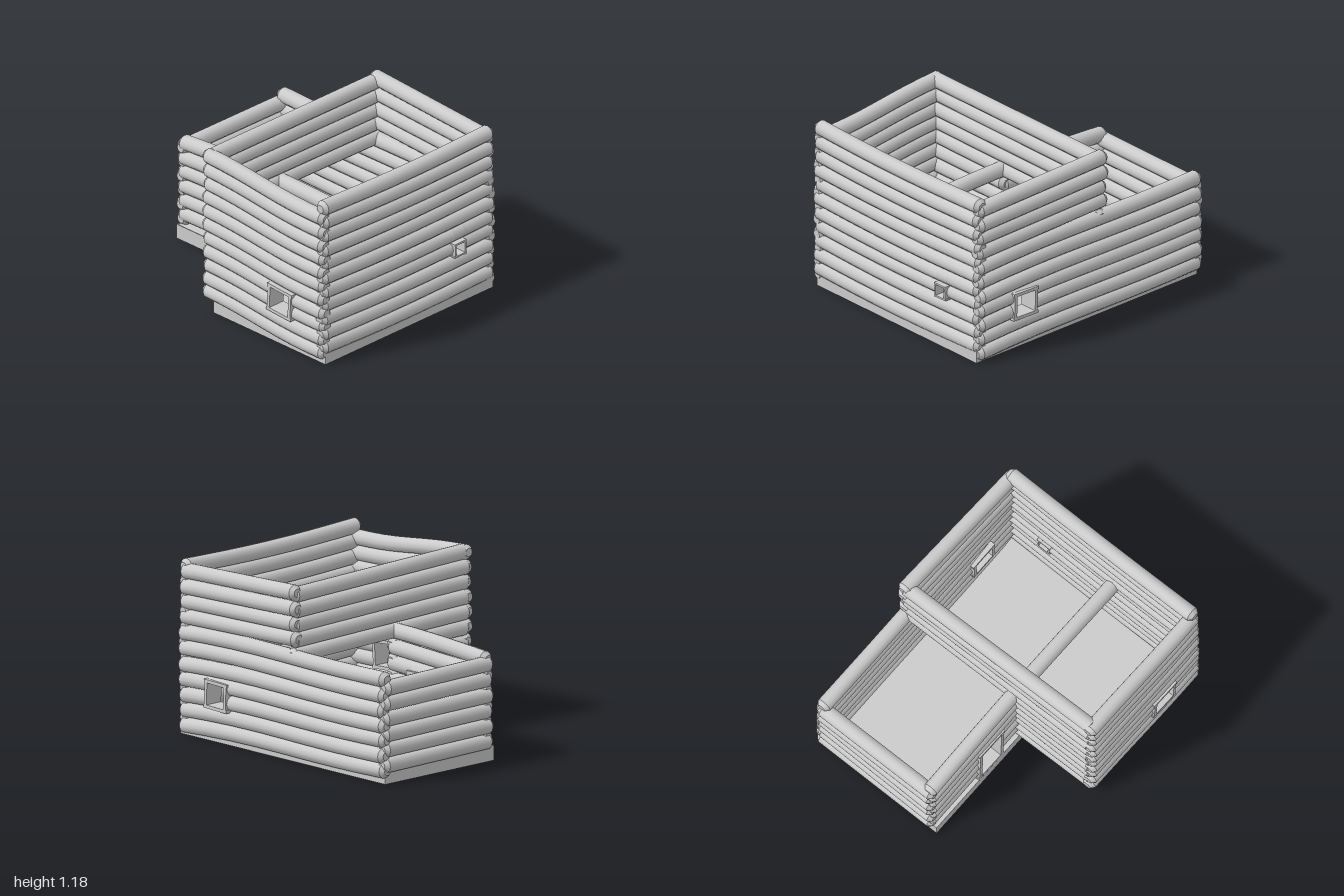
import * as THREE from 'three';
import { toCreasedNormals } from 'three/addons/utils/BufferGeometryUtils.js';

const R = 0.052;
const grey = new THREE.MeshStandardMaterial({ color: 0xcccccc, side: THREE.DoubleSide });

let seed = 7;
const wobble = (amount) => {
  seed = (seed * 16807) % 2147483647;
  return (seed / 2147483647 - 0.5) * 2 * amount;
};

// One stretch of a bent log between t0 and t1; whole ends are chamfered, cut ends are flat.
function logPiece(a, b, sag, t0, t1, clampY) {
  const axis = Math.abs(b.x - a.x) > Math.abs(b.z - a.z) ? 'x' : 'z';
  const bevel = 0.028 / a.distanceTo(b);
  const profile = [new THREE.Vector2(0, t0), new THREE.Vector2(t0 === 0 ? R * 0.55 : R, t0)];
  const s = t0 === 0 ? bevel : t0;
  const e = t1 === 1 ? 1 - bevel : t1;
  for (let i = t0 === 0 ? 0 : 1; i <= 8; i++) profile.push(new THREE.Vector2(R, s + ((e - s) * i) / 8));
  if (t1 === 1) profile.push(new THREE.Vector2(R * 0.55, 1));
  profile.push(new THREE.Vector2(0, t1));
  const geo = new THREE.LatheGeometry(profile, 12);
  const pos = geo.attributes.position;
  const p = new THREE.Vector3();
  for (let i = 0; i < pos.count; i++) {
    const u = pos.getX(i), t = pos.getY(i), v = pos.getZ(i);
    p.lerpVectors(a, b, t);
    p.y += sag(t);
    if (axis === 'x') { p.y += v; p.z += u; } else { p.y += u; p.x += v; }
    if (clampY) p.y = clampY(p.y);
    pos.setXYZ(i, p.x, p.y, p.z);
  }
  geo.deleteAttribute('normal');
  geo.deleteAttribute('uv');
  return toCreasedNormals(geo, 0.62);
}

// A log from a to b, cut away where it crosses an opening {lo, hi, bottom, top}.
function addLog(parent, a, b, sag, opening) {
  const add = (...args) => {
    const mesh = new THREE.Mesh(logPiece(a, b, sag, ...args), grey);
    mesh.name = 'log';
    parent.add(mesh);
  };
  if (opening) {
    const axis = Math.abs(b.x - a.x) > Math.abs(b.z - a.z) ? 'x' : 'z';
    const [t0, t1] = [opening.lo, opening.hi]
      .map((c) => (c - a[axis]) / (b[axis] - a[axis])).sort((m, n) => m - n);
    const tm = (t0 + t1) / 2;
    const y = a.y + (b.y - a.y) * tm + sag(tm);
    const { bottom, top } = opening;
    if (y + R > bottom && y - R < top) {
      add(0, t0);
      add(t1, 1);
      if (y < bottom + R * 0.75) add(t0, t1, (h) => Math.min(h, bottom));
      else if (y > top - R * 0.75) add(t0, t1, (h) => Math.max(h, top));
      return;
    }
  }
  add(0, 1);
}

// A stack of logs. from / to are [x, y of row 0, z, row spacing].
function wall(name, from, to, first, last, sag, opening) {
  const group = new THREE.Group();
  group.name = name;
  for (let i = first; i <= last; i++) {
    const end = ([x, y, z, step]) =>
      new THREE.Vector3(x + wobble(0.006), y + step * i + wobble(0.003), z + wobble(0.006));
    addLog(group, end(from), end(to), sag, opening);
  }
  return group;
}

// Four boards around an opening, facing +z.
function frame(name, w, h, depth, bar, position, tilt = 0, turn = 0) {
  const group = new THREE.Group();
  group.name = name;
  const board = (bw, bh, x, y) => {
    const mesh = new THREE.Mesh(new THREE.BoxGeometry(bw, bh, depth), grey);
    mesh.name = 'frameBoard';
    mesh.position.set(x, y, 0);
    group.add(mesh);
  };
  for (const s of [-1, 1]) {
    board(bar, h - bar, (s * (w - bar)) / 2, 0);
    board(w + bar * 0.6, bar, 0, (s * (h - bar)) / 2);
  }
  group.position.set(...position);
  group.rotation.set(0, turn, tilt);
  return group;
}

// L-shaped ground plan, drawn with z flipped so it can be laid flat.
function plan(inset) {
  const k = inset;
  return [[-0.95 + k, 0.76 - k], [-0.95 + k, -0.2 + k], [-0.055 + k, -0.2 + k],
    [-0.055 + k, -0.76 + k], [0.965 - k, -0.76 + k], [0.965 - k, 0.76 - k]]
    .map(([x, y]) => new THREE.Vector2(x, y));
}

export function createModel() {
  const model = new THREE.Group();
  model.name = 'logCabin';

  // Foundation skirt, open below, with the floor just under its top edge
  const ring = new THREE.Shape(plan(0));
  ring.holes.push(new THREE.Path(plan(0.008)));
  const skirt = new THREE.Mesh(new THREE.ExtrudeGeometry(ring, { depth: 0.1, bevelEnabled: false }), grey);
  skirt.name = 'foundation';
  skirt.rotation.x = -Math.PI / 2;
  const floor = new THREE.Mesh(new THREE.ShapeGeometry(new THREE.Shape(plan(0.004))), grey);
  floor.name = 'floor';
  floor.rotation.x = -Math.PI / 2;
  floor.position.y = 0.095;
  model.add(skirt, floor);

  const straight = () => 0;
  const sagging = (t) => -0.018 * Math.sin(Math.PI * t);
  const wavy = (t) => -0.008 * Math.sin(2 * Math.PI * t) + 0.008 * Math.sin(Math.PI * t);
  const frontHole = { lo: 0.505, hi: 0.69, bottom: 0.25, top: 0.42 };
  const backHole = { lo: 0.495, hi: 0.67, bottom: 0.24, top: 0.4 };
  const sideHole = { lo: -0.485, hi: -0.395, bottom: 0.36, top: 0.45 };
  const doorHole = { lo: -0.5, hi: -0.295, bottom: 0.1, top: 0.485 };

  // Tall room
  model.add(
    wall('frontWall', [-0.115, 0.15, 0.765, 0.098], [0.972, 0.083, 0.755, 0.0967], 0, 10, (t) => -wavy(t), frontHole),
    wall('rightWall', [0.938, 0.125, 0.785, 0.1], [0.928, 0.112, -0.775, 0.1], 0, 10, sagging, sideHole),
    wall('upperInnerWall', [-0.07, 0.13, 0.785, 0.1], [-0.1, 0.1, -0.785, 0.1], 6, 10, straight),
    wall('frontInnerWall', [-0.07, 0.13, 0.785, 0.1], [-0.08, 0.12, 0.1, 0.1], 0, 5, straight),
    wall('upperBackWall', [-0.14, 0.1, -0.765, 0.102], [0.96, 0.06, -0.745, 0.102], 7, 10, straight),
  );

  // Low wing, with a back wall shared by both rooms
  model.add(
    wall('lowerBackWall', [-0.965, 0.09, -0.76, 0.1], [0.96, 0.06, -0.755, 0.102], 0, 6, wavy, backHole),
    wall('wingFrontWall', [-0.965, 0.165, 0.138, 0.102], [-0.05, 0.18, 0.133, 0.107], 0, 4, straight, doorHole),
    wall('wingTopBeam', [-0.965, 0.675, 0.138, 0], [0.95, 0.67, 0.13, 0], 0, 0, (t) => 0.045 * Math.sin(Math.PI * t)),
    wall('wingLeftWall', [-0.942, 0.135, 0.175, 0.102], [-0.942, 0.125, -0.78, 0.102], 0, 5, straight),
  );

  // Door and window frames
  model.add(
    frame('doorFrame', 0.235, 0.395, 0.13, 0.025, [-0.397, 0.3, 0.135], -0.03),
    frame('frontWindowFrame', 0.21, 0.195, 0.13, 0.022, [0.598, 0.337, 0.752], -0.06),
    frame('backWindowFrame', 0.2, 0.19, 0.13, 0.022, [0.583, 0.32, -0.752], 0.03),
    frame('sideWindowFrame', 0.1, 0.1, 0.12, 0.012, [0.934, 0.405, -0.44], 0.02, Math.PI / 2),
  );
  return model;
}
